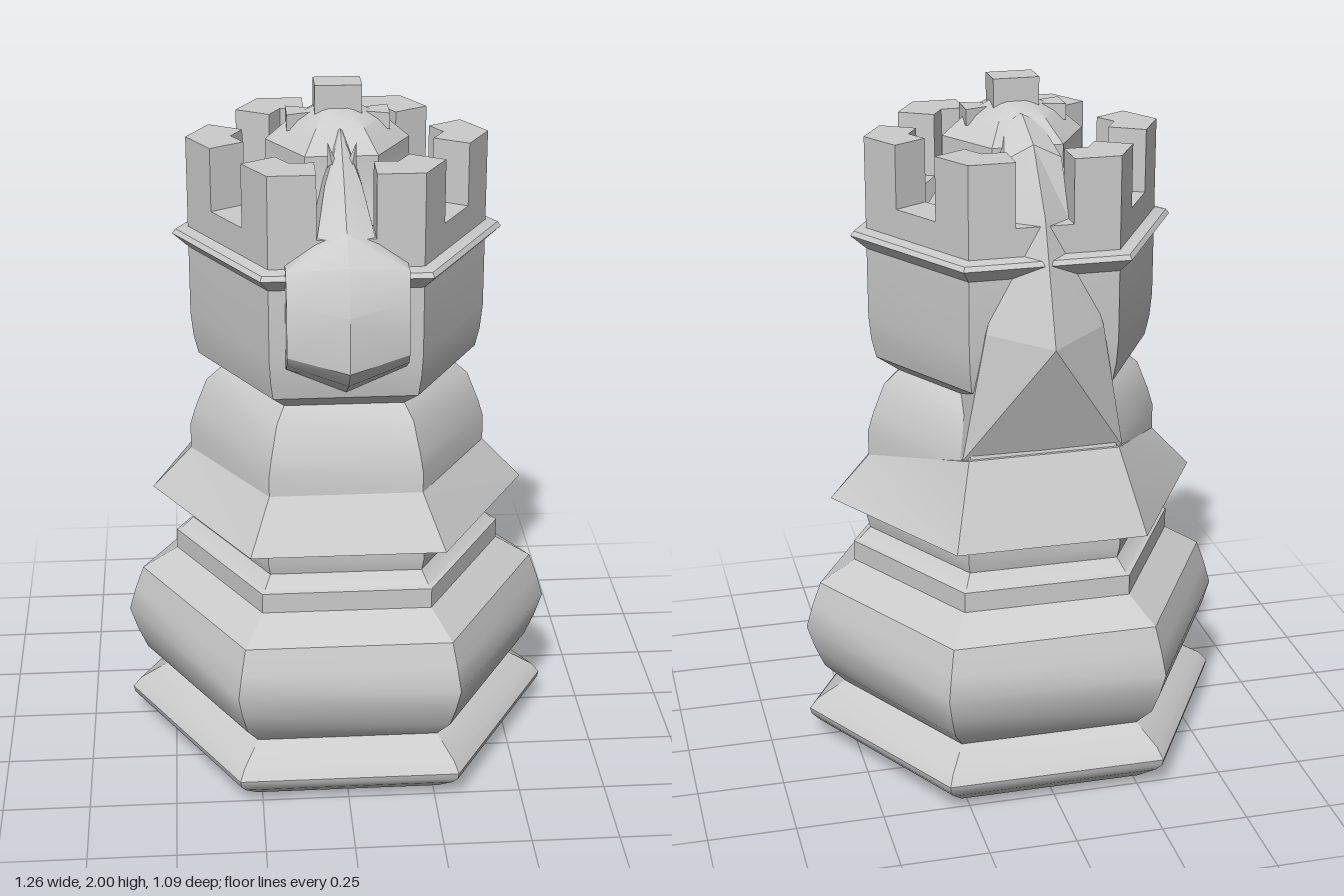
import * as THREE from 'three';
import { toCreasedNormals } from 'three/addons/utils/BufferGeometryUtils.js';

const material = new THREE.MeshStandardMaterial({ color: 0xcccccc });
const CREASE = 0.52;

function add(group, name, geometry, crease = CREASE) {
  const mesh = new THREE.Mesh(toCreasedNormals(geometry, crease), material);
  mesh.name = name;
  group.add(mesh);
  return mesh;
}

// Six-sided turned solid with corners on the x axis; profile runs bottom to top as [radius, y].
function hexTurn(profile) {
  const points = profile.map(([r, y]) => new THREE.Vector2(r, y));
  return new THREE.LatheGeometry(points, 6, Math.PI / 6);
}

// Keeled solid from cross-sections [halfWidth, sideY, sideZ, keelY, keelZ], bottom to top.
// dir = 1 points the keel to the front, -1 to the back.
function keeled(rows, depth, dir) {
  const pos = [], index = [], n = 5;
  for (const [w, sy, sz, ky, kz] of rows) {
    const back = sz - depth;
    for (const [x, y, z] of [[-w, sy, back], [-w, sy, sz], [0, ky, kz], [w, sy, sz], [w, sy, back]]) {
      pos.push(x * dir, y, z * dir);
    }
  }
  for (let i = 0; i < rows.length - 1; i++) {
    for (let j = 0; j < n; j++) {
      const a = i * n + j, b = i * n + (j + 1) % n;
      if (j < 2) index.push(a, b, b + n, a, b + n, a + n);
      else index.push(a, b, a + n, b, b + n, a + n);
    }
  }
  const top = (rows.length - 1) * n;
  for (let j = 1; j < n - 1; j++) {
    index.push(0, j + 1, j);
    index.push(top, top + j, top + j + 1);
  }
  const g = new THREE.BufferGeometry();
  g.setAttribute('position', new THREE.Float32BufferAttribute(pos, 3));
  g.setIndex(index);
  return g;
}

// Corner block of the battlement, bent round one hexagon corner.
function merlonShape(outer, inner, slot) {
  const leg = (r, side) => {
    const len = r / 2 - slot / 2;
    return [r - len * 0.5, side * len * Math.sqrt(3) / 2];
  };
  const pts = [[outer, 0], leg(outer, 1), leg(inner, 1), [inner, 0], leg(inner, -1), leg(outer, -1)];
  return new THREE.Shape(pts.map(([x, y]) => new THREE.Vector2(x, y)));
}

export function createModel() {
  const model = new THREE.Group();
  model.name = 'chessPiece';

  // Foot and bulging base
  add(model, 'foot', hexTurn([
    [0, 0], [0.53, 0], [0.6, 0.05], [0.625, 0.075], [0.63, 0.095], [0.605, 0.125], [0.52, 0.175], [0, 0.175],
  ]));
  add(model, 'bulge', hexTurn([
    [0.52, 0.175], [0.58, 0.235], [0.608, 0.3], [0.63, 0.37], [0.61, 0.44], [0.585, 0.51], [0.48, 0.575],
  ]));
  add(model, 'steppedNeck', hexTurn([
    [0.48, 0.575], [0.48, 0.635], [0.465, 0.64], [0.43, 0.675], [0.44, 0.71], [0.44, 0.78],
  ]));

  // Flared skirt whose upper edge rises toward the back
  const skirt = hexTurn([[0.4, 0.78], [0.545, 0.78], [0.43, 0.91], [0.3, 0.91]]);
  const p = skirt.attributes.position;
  for (let i = 0; i < p.count; i++) {
    if (p.getY(i) < 0.9) continue;
    const z = p.getZ(i);
    p.setY(i, z < -0.1 ? 1.015 : z > 0.1 ? 0.92 : 0.905);
  }
  add(model, 'skirt', skirt);

  // Body under the tower
  add(model, 'body', hexTurn([
    [0.43, 0.85], [0.43, 0.98], [0.415, 1.03], [0.38, 1.12], [0.335, 1.16],
  ]));

  // Tower with its moulding and sunken floor
  add(model, 'tower', hexTurn([
    [0.335, 1.16], [0.4, 1.205], [0.413, 1.26], [0.42, 1.33], [0.42, 1.53], [0.465, 1.57],
    [0.455, 1.583], [0.42, 1.59], [0.42, 1.67], [0.295, 1.67], [0.27, 1.62], [0, 1.62],
  ]));

  // Battlement: one block on each corner
  const merlon = new THREE.ExtrudeGeometry(merlonShape(0.42, 0.295, 0.16), { depth: 0.18, bevelEnabled: false });
  merlon.rotateX(-Math.PI / 2);
  for (let k = 0; k < 6; k++) {
    const block = add(model, 'merlon', merlon);
    block.position.y = 1.67;
    block.rotation.y = k * Math.PI / 3;
  }

  // Inner crown dome
  add(model, 'dome', hexTurn([
    [0.26, 1.62], [0.21, 1.7], [0.2, 1.8], [0.2, 1.84], [0.165, 1.87], [0.13, 1.9], [0.07, 1.93], [0, 1.95],
  ]));

  // Cross on the dome: a square top and two flaring arms
  const top = add(model, 'crossTop', new THREE.BoxGeometry(0.13, 0.08, 0.09));
  top.position.y = 1.96;
  for (const side of [-1, 1]) {
    const arm = new THREE.BoxGeometry(0.09, 0.045, 0.09);
    const a = arm.attributes.position;
    for (let i = 0; i < a.count; i++) {
      if (a.getX(i) * side < 0) a.setZ(i, a.getZ(i) * 0.3);
    }
    add(model, 'crossArm', arm).position.set(side * 0.097, 1.897, 0);
  }

  // Horse head: muzzle down the front, forehead narrowing through the front slot
  add(model, 'horseHead', keeled([
    [0.165, 1.3, 0.36, 1.225, 0.355],
    [0.165, 1.34, 0.43, 1.285, 0.455],
    [0.165, 1.37, 0.45, 1.34, 0.505],
    [0.165, 1.52, 0.45, 1.5, 0.505],
    [0.165, 1.6, 0.415, 1.62, 0.45],
    [0.08, 1.66, 0.36, 1.69, 0.375],
    [0.05, 1.78, 0.24, 1.8, 0.26],
    [0.012, 1.89, 0.1, 1.9, 0.13],
  ], 0.14, 1));

  // Ears
  for (const side of [-1, 1]) {
    const ear = add(model, 'ear', new THREE.ConeGeometry(0.018, 0.09, 4));
    ear.position.set(side * 0.03, 1.84, 0.19);
    ear.rotation.z = -side * 0.2;
  }

  // Mane: keeled ridge from the skirt up through the back slot to the dome
  add(model, 'mane', keeled([
    [0.23, 1.01, 0.355, 1.02, 0.36],
    [0.165, 1.38, 0.37, 1.36, 0.485],
    [0.08, 1.67, 0.31, 1.69, 0.365],
    [0.08, 1.82, 0.23, 1.86, 0.235],
    [0.05, 1.89, 0.11, 1.915, 0.11],
  ], 0.15, -1), 0.2);

  return model;
}
